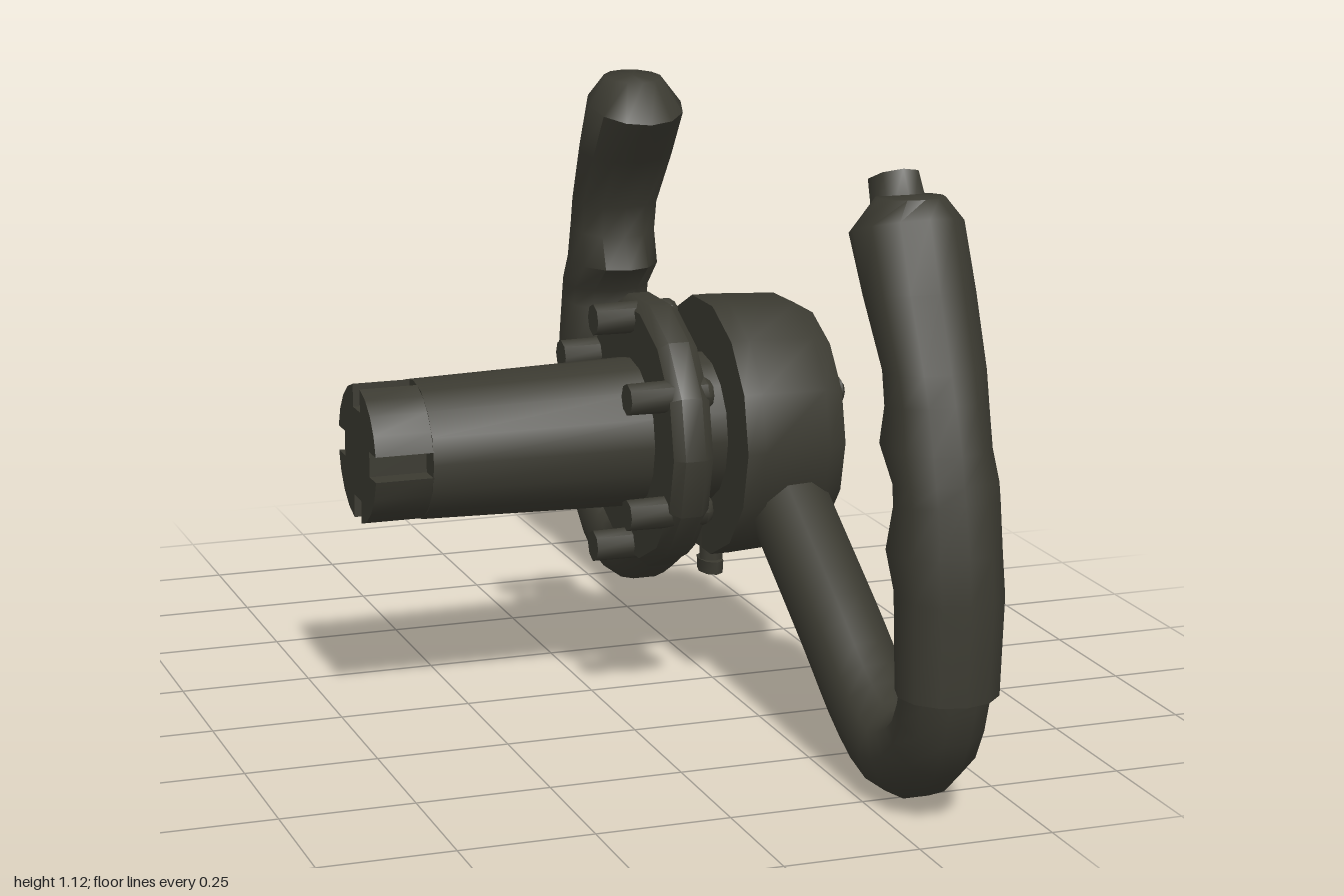
import * as THREE from 'three';
import { toCreasedNormals } from 'three/addons/utils/BufferGeometryUtils.js';

const AXIS_Y = 0.52;   // height of the column axis
const WHEEL_X = 0.335; // plane of the two handles

const darkOlive = new THREE.MeshStandardMaterial({ color: 0x3b3a31 });
darkOlive.name = 'dark olive';

function part(name, geometry, parent, crease = 0.8) {
  const mesh = new THREE.Mesh(toCreasedNormals(geometry, crease), darkOlive);
  mesh.name = name;
  parent.add(mesh);
  return mesh;
}

// Solid of revolution about the x axis; profile is [radius, x] with x rising
function turned(profile, sides) {
  const geo = new THREE.LatheGeometry(profile.map(([r, x]) => new THREE.Vector2(r, x)), sides);
  return geo.rotateZ(-Math.PI / 2);
}

// Loft through ellipses, each given as [outer z, outer y, inner z, inner y, half width in x]
function loft(sections, sides) {
  const pos = [], index = [];
  sections.forEach(([oz, oy, iz, iy, w]) => {
    for (let i = 0; i < sides; i++) {
      const t = (i / sides) * Math.PI * 2, c = Math.cos(t);
      pos.push(w * Math.sin(t), (oy + iy + c * (oy - iy)) / 2, (oz + iz + c * (oz - iz)) / 2);
    }
  });
  for (let j = 0; j < sections.length - 1; j++) {
    for (let i = 0; i < sides; i++) {
      const n = (i + 1) % sides;
      const a = j * sides + i, b = j * sides + n;
      index.push(a, b, b + sides, a, b + sides, a + sides);
    }
  }
  const geo = new THREE.BufferGeometry();
  geo.setAttribute('position', new THREE.Float32BufferAttribute(pos, 3));
  geo.setIndex(index);
  return geo;
}

// Slotted spline end: a disc with four notches, extruded along x
function splineEnd(radius, inner, halfSlot, length) {
  const shape = new THREE.Shape();
  const a = Math.asin(halfSlot / radius), b = Math.asin(halfSlot / inner);
  for (let k = 0; k < 4; k++) {
    const base = (k * Math.PI) / 2;
    const add = (r, t) => {
      const x = r * Math.cos(base + t), y = r * Math.sin(base + t);
      if (k === 0 && t === -b) shape.moveTo(x, y);
      else shape.lineTo(x, y);
    };
    add(inner, -b);
    add(inner, b);
    for (let s = 0; s <= 4; s++) add(radius, a + (s / 4) * (Math.PI / 2 - 2 * a));
  }
  shape.closePath();
  return new THREE.ExtrudeGeometry(shape, { depth: length, bevelEnabled: false }).rotateY(Math.PI / 2);
}

function makeHandle(name) {
  const handle = new THREE.Group();
  handle.name = name;
  handle.position.x = WHEEL_X;

  // Bent arm from hub to grip
  const path = new THREE.CatmullRomCurve3(
    [[0.1, 0.445], [0.23, 0.362], [0.43, 0.235], [0.61, 0.118], [0.725, 0.083], [0.85, 0.14], [0.902, 0.25], [0.91, 0.36]]
      .map(([z, y]) => new THREE.Vector3(0, y, z)));
  part('arm', new THREE.TubeGeometry(path, 20, 0.079, 10), handle);

  // Grip with finger grooves on the inner side
  part('grip', loft([
    [0.91, 0.255, 0.91, 0.255, 0],
    [0.995, 0.25, 0.825, 0.255, 0.092],
    [1.0, 0.43, 0.82, 0.43, 0.097],
    [0.99, 0.51, 0.778, 0.49, 0.099],
    [0.97, 0.60, 0.812, 0.57, 0.095],
    [0.962, 0.63, 0.808, 0.61, 0.095],
    [0.95, 0.68, 0.73, 0.67, 0.094],
    [0.92, 0.76, 0.76, 0.735, 0.092],
    [0.9, 0.81, 0.755, 0.80, 0.094],
    [0.845, 0.94, 0.67, 0.91, 0.1],
    [0.797, 1.06, 0.597, 1.0, 0.1],
    [0.775, 1.09, 0.65, 1.08, 0.06],
    [0.715, 1.088, 0.715, 1.088, 0],
  ], 12), handle, 1.0);
  return handle;
}

export function createModel() {
  const model = new THREE.Group();
  model.name = 'controlYoke';

  // Column, flange, hub and cap share one axis
  const column = new THREE.Group();
  column.name = 'column';
  column.position.y = AXIS_Y;
  model.add(column);

  const spline = part('splineEnd', splineEnd(0.131, 0.088, 0.024, 0.112), column);
  spline.position.x = -0.462;
  part('shaft', turned([[0, -0.352], [0.133, -0.352], [0.144, 0.1], [0.144, 0.24]], 16), column);
  part('flange', turned([[0.13, 0.077], [0.245, 0.077], [0.262, 0.095], [0.262, 0.135], [0.245, 0.155], [0.13, 0.155]], 14), column);
  part('hub', turned([[0, 0.223], [0.25, 0.223], [0.25, 0.26], [0.243, 0.39], [0.222, 0.43], [0, 0.435]], 14), column);
  part('hubCap', turned([[0.125, 0.43], [0.125, 0.443], [0.11, 0.46], [0, 0.462]], 10), column);

  // Six flange bolts
  for (let i = 0; i < 6; i++) {
    const a = (i / 6) * Math.PI * 2;
    const bolt = part('flangeBolt', turned([[0, 0.003], [0.03, 0.003], [0.032, 0.155], [0.024, 0.167], [0, 0.167]], 8), column);
    bolt.position.set(0, 0.222 * Math.cos(a), 0.222 * Math.sin(a));
  }

  // Three screws on the hub face
  for (let i = 0; i < 3; i++) {
    const a = Math.PI + (i / 3) * Math.PI * 2;
    const screw = part('hubScrew', turned([[0, 0.42], [0.026, 0.42], [0.026, 0.446], [0.017, 0.452], [0, 0.452]], 8), column);
    screw.position.set(0, 0.168 * Math.cos(a), 0.168 * Math.sin(a));
  }

  // Set screw under the hub
  const stem = part('setScrewStem', new THREE.CylinderGeometry(0.024, 0.024, 0.07, 8), model);
  stem.position.set(0.245, 0.28, 0);
  const head = part('setScrewHead', new THREE.CylinderGeometry(0.04, 0.038, 0.025, 8), model);
  head.scale.x = 0.6;
  head.position.set(0.243, 0.24, 0);

  // Handles: each is symmetric in x, so a half turn gives the mirror image
  const left = makeHandle('frontHandle');
  const right = makeHandle('rearHandle');
  right.rotation.y = Math.PI;
  model.add(left, right);

  // Thumb button and trigger on the front handle
  const button = part('thumbButton', new THREE.CylinderGeometry(0.048, 0.055, 0.09, 8), left);
  button.position.set(0, 1.066, 0.658);
  button.rotation.x = -0.48;
  part('trigger', loft([
    [0.7, 0.83, 0.7, 0.83, 0],
    [0.74, 0.85, 0.62, 0.838, 0.035],
    [0.74, 0.88, 0.592, 0.86, 0.038],
    [0.72, 0.93, 0.615, 0.905, 0.034],
    [0.7, 0.97, 0.628, 0.96, 0.025],
    [0.68, 0.97, 0.68, 0.97, 0],
  ], 8), left);

  return model;
}
